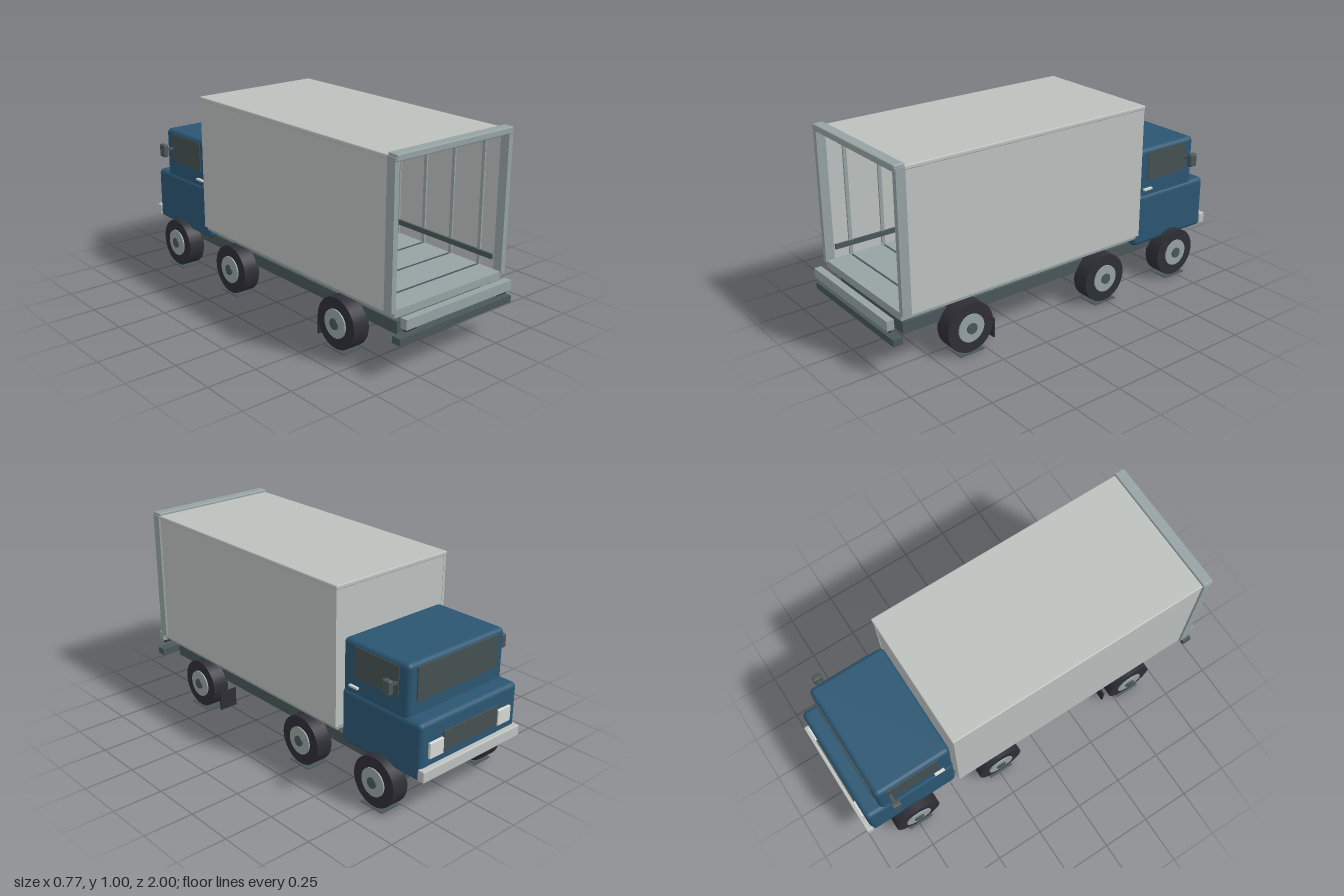
import * as THREE from 'three';
import { RoundedBoxGeometry } from 'three/addons/geometries/RoundedBoxGeometry.js';

const mat = (name, color) => {
  const m = new THREE.MeshStandardMaterial({ color });
  m.name = name;
  return m;
};

export function createModel() {
  const panel = mat('pale panel grey', 0xbcc1be);
  const frame = mat('frame grey', 0x96a2a2);
  const slate = mat('slate chassis', 0x4a5759);
  const blue = mat('cab blue', 0x2b5672);
  const rubber = mat('tyre black', 0x2f2e37);
  const glass = mat('dark glass', 0x465152);
  const lamp = mat('lamp white', 0xd6d8d2);

  const truck = new THREE.Group();
  truck.name = 'boxTruck';
  const group = (name) => {
    const g = new THREE.Group();
    g.name = name;
    truck.add(g);
    return g;
  };
  // Box given by its min and max on each axis; r rounds the edges
  const box = (parent, name, material, [x0, x1], [y0, y1], [z0, z1], r = 0) => {
    const s = [x1 - x0, y1 - y0, z1 - z0];
    const geo = r ? new RoundedBoxGeometry(...s, 3, r) : new THREE.BoxGeometry(...s);
    const m = new THREE.Mesh(geo, material);
    m.name = name;
    m.position.set((x0 + x1) / 2, (y0 + y1) / 2, (z0 + z1) / 2);
    parent.add(m);
    return m;
  };
  // Same box on both sides of the truck
  const pair = (parent, name, material, [x0, x1], y, z, r) => {
    box(parent, name + 'Left', material, [x0, x1], y, z, r);
    box(parent, name + 'Right', material, [-x1, -x0], y, z, r);
  };

  // Chassis and rear crossbeam
  const chassis = group('chassis');
  box(chassis, 'chassisFrame', slate, [-0.28, 0.28], [0.168, 0.227], [-0.86, 0.89]);
  box(chassis, 'rearCrossbeam', slate, [-0.355, 0.355], [0.17, 0.204], [0.937, 0.985]);
  box(chassis, 'rearBumper', frame, [-0.333, 0.333], [0.243, 0.291], [0.963, 1]);
  pair(chassis, 'tailLamp', rubber, [0.255, 0.32], [0.226, 0.243], [0.97, 0.983]);
  pair(chassis, 'mudFlap', rubber, [0.24, 0.34], [0.02, 0.12], [0.43, 0.438]);

  // Cargo box, open at the tailgate
  const cargo = group('cargoBox');
  box(cargo, 'floorSill', frame, [-0.337, 0.337], [0.273, 0.31], [-0.47, 0.93]);
  pair(cargo, 'sideWall', panel, [0.335, 0.349], [0.293, 0.965], [-0.478, 0.9]);
  box(cargo, 'frontWall', panel, [-0.335, 0.335], [0.293, 0.965], [-0.476, -0.462]);
  box(cargo, 'roof', panel, [-0.352, 0.352], [0.963, 0.984], [-0.483, 0.932], 0.006);
  pair(cargo, 'rearPost', frame, [0.334, 0.36], [0.3, 0.983], [0.888, 0.935]);
  box(cargo, 'rearHeader', frame, [-0.355, 0.355], [0.964, 0.997], [0.885, 0.94], 0.006);
  pair(cargo, 'tieRail', slate, [0.32, 0.331], [0.36, 0.385], [-0.46, 0.885]);
  for (let z = 0.8; z > -0.44; z -= 0.18) {
    pair(cargo, 'wallRib', frame, [0.326, 0.336], [0.309, 0.94], [z - 0.009, z + 0.009]);
    box(cargo, 'floorGap', slate, [-0.32, 0.32], [0.308, 0.312], [z - 0.005, z + 0.005]);
  }

  // Cab
  const cab = group('cab');
  box(cab, 'cabLower', blue, [-0.318, 0.318], [0.214, 0.49], [-0.972, -0.481], 0.024);
  box(cab, 'cabUpper', blue, [-0.31, 0.31], [0.46, 0.735], [-0.886, -0.481], 0.024);
  box(cab, 'windshield', glass, [-0.26, 0.26], [0.553, 0.715], [-0.893, -0.884]);
  pair(cab, 'sideWindow', glass, [0.306, 0.314], [0.565, 0.716], [-0.83, -0.56]);
  pair(cab, 'doorHandle', lamp, [0.308, 0.324], [0.515, 0.525], [-0.587, -0.533]);
  pair(cab, 'mirrorArm', slate, [0.308, 0.36], [0.63, 0.642], [-0.826, -0.814]);
  pair(cab, 'mirror', slate, [0.354, 0.383], [0.6, 0.668], [-0.842, -0.797], 0.007);
  box(cab, 'grille', glass, [-0.178, 0.178], [0.32, 0.418], [-0.98, -0.971]);
  pair(cab, 'headlight', lamp, [0.18, 0.267], [0.315, 0.393], [-0.985, -0.968], 0.004);
  box(cab, 'frontBumper', panel, [-0.32, 0.32], [0.222, 0.279], [-1, -0.963], 0.006);

  // Wheels: tyre, rim and hub on the x axis, with a flat contact pad
  const disc = (parent, name, material, r, x0, x1, y, z) => {
    const geo = new THREE.CylinderGeometry(r, r, Math.abs(x1 - x0), 32).rotateZ(Math.PI / 2);
    const m = new THREE.Mesh(geo, material);
    m.name = name;
    m.position.set((x0 + x1) / 2, y, z);
    parent.add(m);
  };
  const axles = { front: -0.74, middle: -0.24, rear: 0.58 };
  for (const [name, z] of Object.entries(axles)) {
    for (const s of [1, -1]) {
      const wheel = group(`${name}Wheel${s > 0 ? 'Left' : 'Right'}`);
      disc(wheel, 'tyre', rubber, 0.125, s * 0.272, s * 0.36, 0.13, z);
      disc(wheel, 'rim', frame, 0.07, s * 0.35, s * 0.367, 0.13, z);
      disc(wheel, 'hub', slate, 0.027, s * 0.36, s * 0.374, 0.13, z);
      const xs = [s * 0.262, s * 0.37].sort((a, b) => a - b);
      box(wheel, 'contactPad', slate, xs, [0, 0.004], [z - 0.068, z + 0.068]);
    }
    disc(chassis, name + 'Axle', slate, 0.02, -0.275, 0.275, 0.148, z);
  }

  return truck;
}
